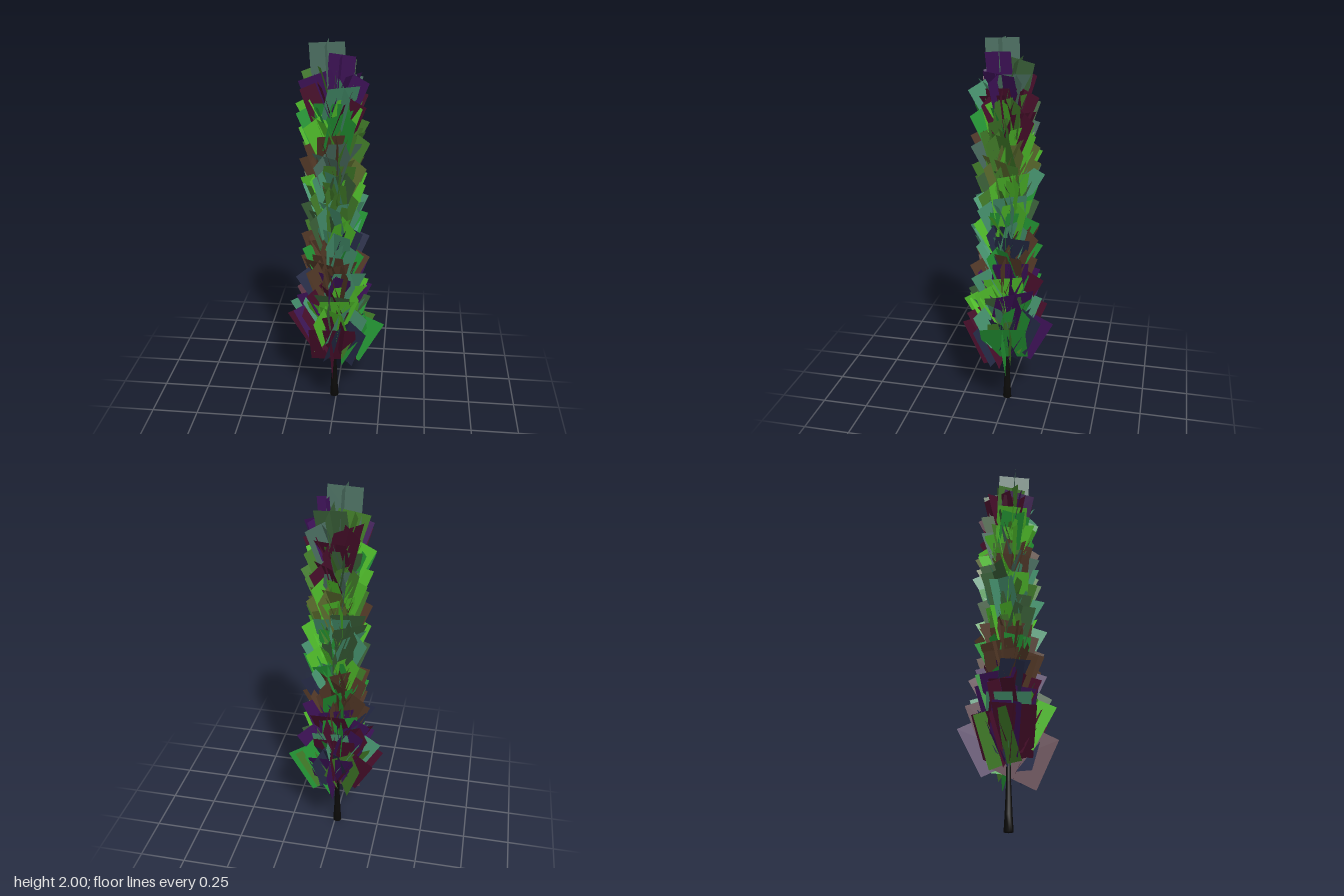
import * as THREE from 'three';
import { mergeGeometries } from 'three/addons/utils/BufferGeometryUtils.js';

const AXIS_X = -0.012;
const COLORS = {
  lime: 0x52c22c, green: 0x259a36, leaf: 0x437f2a, olive: 0x5f7030, moss: 0x3a6038,
  teal: 0x4a9a74, grey: 0x4c7062, brown: 0x553a28, maroon: 0x4a0f2c, purple: 0x3e1258, navy: 0x262c48,
};

// leaf colours in each height band, from the bottom up
const BANDS = [
  [0.40, ['maroon', 'purple', 'green', 'navy', 'leaf', 'maroon']],
  [0.62, ['teal', 'lime', 'green', 'maroon', 'moss', 'purple']],
  [0.90, ['brown', 'navy', 'brown', 'teal', 'green', 'purple']],
  [1.25, ['leaf', 'lime', 'green', 'teal', 'moss', 'leaf']],
  [1.45, ['olive', 'brown', 'grey', 'lime', 'leaf']],
  [1.60, ['leaf', 'lime', 'moss', 'green', 'maroon']],
  [9.00, ['maroon', 'purple', 'grey', 'leaf', 'teal']],
];

// single clusters: colour, width, length, base height, angle, tilt, roll, radius
const SKIRT = [
  ['maroon', 0.25, 0.28, 0.25, -1.57, 0.43, 0.02, 0.02],
  ['green', 0.24, 0.275, 0.28, 0.05, 0.51, 0.1, 0.035],
  ['maroon', 0.23, 0.26, 0.355, 3.2, 0.53, -0.1, 0.025],
  ['purple', 0.24, 0.27, 0.31, 1.5, 0.47, 0.08, 0.025],
  ['navy', 0.23, 0.27, 0.29, -0.75, 0.42, 0.15, 0.02],
  ['leaf', 0.23, 0.27, 0.32, 2.35, 0.45, -0.15, 0.02],
];
const TIP = [
  ['grey', 0.17, 0.2, 1.795, 3.95, 0.07, 0.76, 0.03],
  ['purple', 0.13, 0.19, 1.75, -0.7, 0.12, 0.6, 0.035],
  ['moss', 0.16, 0.19, 1.72, 1.2, 0.25, 0.3, 0.02],
  ['leaf', 0.16, 0.19, 1.7, 3.3, 0.3, 0.2, 0.025],
];

function seeded(seed) {
  return () => {
    seed = (seed * 16807) % 2147483647;
    return seed / 2147483647;
  };
}

// two crossed rectangles growing along +y from the origin
function leafCluster(width, length) {
  const a = new THREE.PlaneGeometry(width, length).translate(0, length / 2, 0);
  return mergeGeometries([a, a.clone().rotateY(Math.PI / 2)]);
}

export function createModel() {
  const group = new THREE.Group();
  const rand = seeded(4711);
  const vary = (amount) => amount * (2 * rand() - 1);

  // trunk, flared at the foot and tapering inside the crown
  const profile = [[0, 0], [0.024, 0], [0.019, 0.08], [0.012, 0.24], [0.01, 0.8], [0.004, 1.8]]
    .map(([r, y]) => new THREE.Vector2(r, y));
  const trunk = new THREE.Mesh(
    new THREE.LatheGeometry(profile, 8),
    new THREE.MeshStandardMaterial({ color: 0x0c0b0a }),
  );
  trunk.name = 'trunk';
  trunk.position.x = AXIS_X;
  group.add(trunk);

  const byColor = {};
  const place = (color, width, length, y, angle, tilt, roll, radius) => {
    const geo = leafCluster(width, length);
    geo.rotateY(roll).rotateZ(-tilt).translate(radius, 0, 0).rotateY(angle).translate(AXIS_X, y, 0);
    (byColor[color] ??= []).push(geo);
  };

  // crown: crossed leaf cards spiralling up the trunk, leaning outward
  const COUNT = 116;
  for (let i = 0; i < COUNT; i++) {
    const t = i / (COUNT - 1);
    const y = 0.33 + 1.34 * t + vary(0.02);
    const low = Math.max(0, 1 - t / 0.32); // cards are larger near the bottom
    const width = 0.17 + 0.05 * low + vary(0.012);
    const length = 0.2 + 0.06 * low + vary(0.012);
    const names = BANDS.find(([top]) => y <= top)[1];
    const color = names[Math.floor(rand() * names.length)];
    place(color, width, length, y, i * 2.4 + vary(0.35), 0.42 + 0.04 * low + vary(0.1), vary(0.45), 0.022 + vary(0.01));
  }

  // large lowest cards and the upright tip
  for (const cluster of [...SKIRT, ...TIP]) place(...cluster);

  const crown = new THREE.Group();
  crown.name = 'crown';
  for (const [color, geos] of Object.entries(byColor)) {
    const leaves = new THREE.Mesh(
      mergeGeometries(geos),
      new THREE.MeshStandardMaterial({ color: COLORS[color], side: THREE.DoubleSide }),
    );
    leaves.name = color + 'Leaves';
    crown.add(leaves);
  }
  group.add(crown);
  return group;
}
